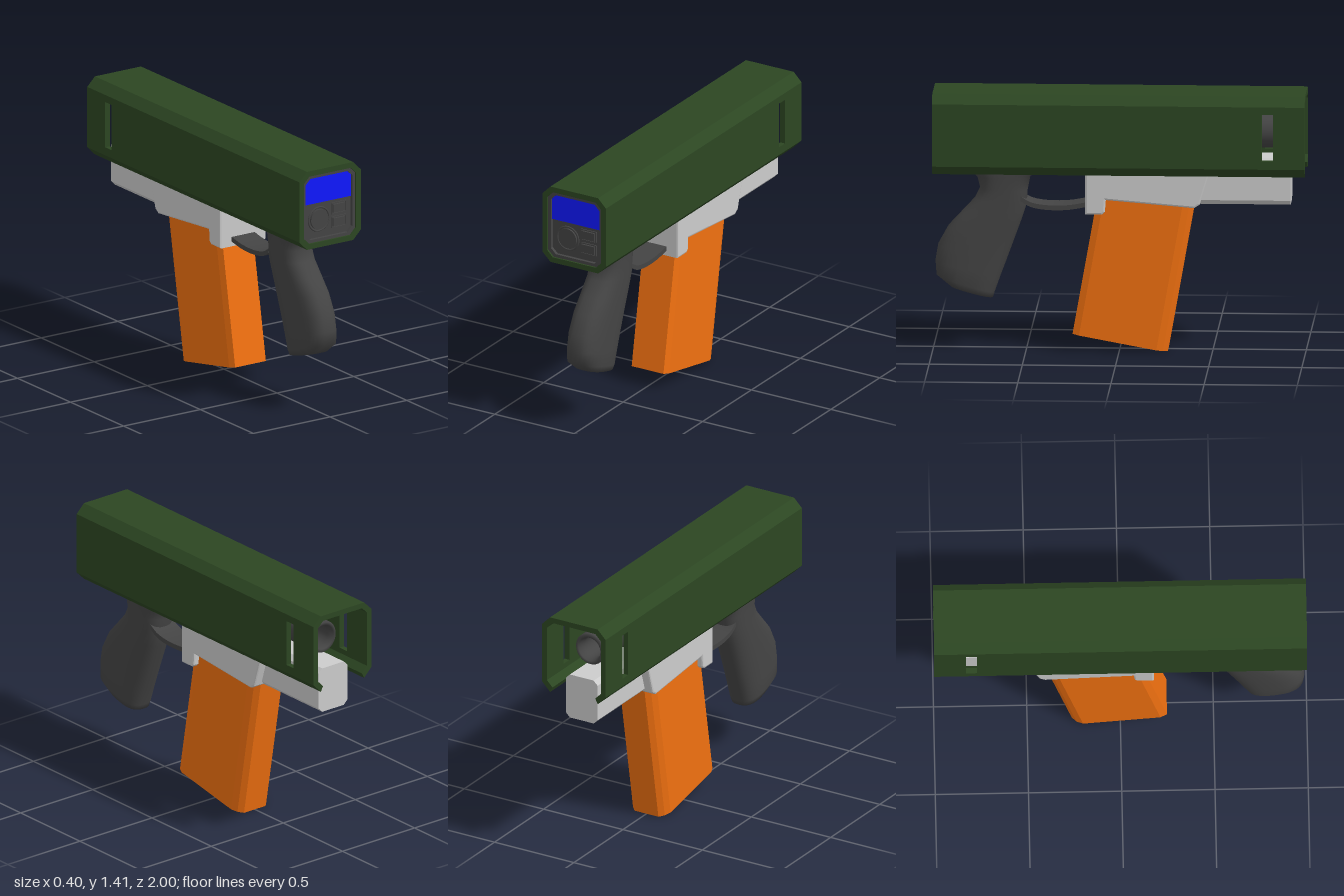
import * as THREE from 'three';

const mat = (color, extra = {}) => new THREE.MeshStandardMaterial({ color, ...extra });
const GREY = mat(0xcccccc);
const GREEN = mat(0x2c4622);
const DARK = mat(0x444444);
const BARREL = mat(0x444444, { side: THREE.DoubleSide });
const ORANGE = mat(0xf07010);
const BLUE = mat(0x1018ff);

const toShape = (pts) => new THREE.Shape(pts.map(([x, y]) => new THREE.Vector2(x, y)));

// rectangle with chamfered corners, symmetric in x
function octagon(w, y0, y1, c) {
  return [[w - c, y0], [w, y0 + c], [w, y1 - c], [w - c, y1],
    [c - w, y1], [-w, y1 - c], [-w, y0 + c], [c - w, y0]];
}

// x-y outline (with an optional hole) extruded from z0 to z1
function extrudeZ(pts, z0, z1, hole) {
  const shape = toShape(pts);
  if (hole) shape.holes.push(toShape(hole));
  return new THREE.ExtrudeGeometry(shape, { depth: z1 - z0, bevelEnabled: false }).translate(0, 0, z0);
}

// z-y outline extruded across x, with a small edge bevel
function extrudeX(pts, half, bevel = 0) {
  const geo = new THREE.ExtrudeGeometry(toShape(pts), {
    depth: 2 * (half - bevel), bevelEnabled: bevel > 0, bevelSize: bevel,
    bevelThickness: bevel, bevelOffset: -bevel, bevelSegments: 2, curveSegments: 16,
  });
  return geo.rotateY(-Math.PI / 2).translate(half - bevel, 0, 0);
}

// smooth grip lofted through rings of [frontZ, frontY, rearZ, rearY, halfWidth]
function gripGeometry(rings, n = 32) {
  const pos = [], idx = [];
  const soft = (v) => Math.sign(v) * Math.abs(v) ** 0.75;
  for (const [fz, fy, rz, ry, w] of rings) {
    for (let j = 0; j < n; j++) {
      const a = (j / n) * Math.PI * 2, t = (1 - soft(Math.cos(a))) / 2;
      pos.push(w * soft(Math.sin(a)), fy + (ry - fy) * t, fz + (rz - fz) * t);
    }
  }
  const quad = (i, j) => {
    const k = (j + 1) % n, a = i * n + j, b = i * n + k;
    idx.push(a, a + n, b, b, a + n, b + n);
  };
  for (let i = 0; i < rings.length - 1; i++) for (let j = 0; j < n; j++) quad(i, j);
  // closed underside
  const last = (rings.length - 1) * n, [fz, fy, rz, ry] = rings[rings.length - 1];
  pos.push(0, (fy + ry) / 2, (fz + rz) / 2);
  for (let j = 0; j < n; j++) idx.push(last + n, last + ((j + 1) % n), last + j);
  const geo = new THREE.BufferGeometry();
  geo.setAttribute('position', new THREE.Float32BufferAttribute(pos, 3));
  geo.setIndex(idx);
  geo.computeVertexNormals();
  return geo;
}

export function createModel() {
  const model = new THREE.Group();
  const add = (name, geo, material, parent = model) => {
    const mesh = new THREE.Mesh(geo, material);
    mesh.name = name;
    parent.add(mesh);
    return mesh;
  };

  // hollow outer shell: closed ring in front, open underneath behind the body front
  const shell = new THREE.Group();
  shell.name = 'shell';
  model.add(shell);
  const outer = octagon(0.2, 0.975, 1.415, 0.05);
  const inner = octagon(0.17, 1.005, 1.385, 0.035);
  const channel = [...outer, ...[...inner].reverse()];
  add('shellFront', extrudeZ(outer, 0.17, 1, inner), GREEN, shell);
  add('shellMiddle', extrudeZ(channel, -0.77, 0.17), GREEN, shell);
  add('shellRear', extrudeZ(channel, -1, -0.83), GREEN, shell);
  // between those, the wall is interrupted by a slot on each side
  add('shellAboveSlots', extrudeZ([[0.2, 1.325], ...outer.slice(2, 6), [-0.2, 1.325],
    [-0.17, 1.325], ...inner.slice(2, 6).reverse(), [0.17, 1.325]], -0.83, -0.77), GREEN, shell);
  for (const s of [-1, 1]) {
    const lower = [[0.15, 0.975], [0.2, 1.025], [0.2, 1.07], [0.17, 1.07], [0.17, 1.04], [0.135, 1.005]];
    add('shellBelowSlot', extrudeZ(lower.map(([x, y]) => [s * x, y]), -0.83, -0.77), GREEN, shell);
  }

  // control panel closing the front
  const panel = new THREE.Group();
  panel.name = 'controlPanel';
  model.add(panel);
  const bezelHole = octagon(0.152, 1.022, 1.367, 0.03);
  add('panelFrame', extrudeZ(octagon(0.17, 1.005, 1.385, 0.035), 0.9, 0.99, bezelHole), DARK, panel);
  add('panelBack', extrudeZ(bezelHole, 0.9, 0.972), DARK, panel);
  add('screen', extrudeZ([[-0.15, 1.22], [0.15, 1.22], [0.15, 1.345], [0.132, 1.364],
    [-0.132, 1.364], [-0.15, 1.345]], 0.95, 0.982), BLUE, panel);
  add('dial', new THREE.CylinderGeometry(0.056, 0.056, 0.02, 40).rotateX(Math.PI / 2)
    .translate(-0.055, 1.125, 0.972), DARK, panel);
  add('dialRim', new THREE.TorusGeometry(0.066, 0.005, 8, 40).translate(-0.055, 1.125, 0.973), DARK, panel);
  for (const y of [1.09, 1.168]) {
    add('button', new THREE.BoxGeometry(0.078, 0.046, 0.02).translate(0.075, y, 0.972), DARK, panel);
    add('buttonRim', extrudeZ(octagon(0.05, y - 0.033, y + 0.033, 0.004), 0.965, 0.978,
      octagon(0.044, y - 0.027, y + 0.027, 0.003)).translate(0.075, 0, 0), DARK, panel);
  }

  // hollow barrel inside the shell
  const barrel = [[0.06, -0.85], [0.06, 0.8], [0.068, 0.84], [0.084, 0.84], [0.09, 0.832], [0.09, -0.85]]
    .map(([r, y]) => new THREE.Vector2(r, y));
  add('barrel', new THREE.LatheGeometry(barrel, 40).rotateX(-Math.PI / 2).translate(0, 1.2, 0), BARREL);

  // body with the magazine well, and the narrower block behind it
  add('body', extrudeX([[0.18, 1.05], [-0.505, 1.05], [-0.483, 0.975], [-0.435, 0.82], [-0.405, 0.8],
    [0.07, 0.84], [0.075, 0.775], [0.09, 0.76], [0.18, 0.76]], 0.15, 0.01), GREY);
  add('rearBlock', extrudeZ(octagon(0.1, 0.812, 1.065, 0.025), -0.92, -0.4), GREY);

  // slanted magazine: chamfered section sheared along its lean
  const magSection = [[-0.1, -0.25], [0.1, -0.25], [0.115, -0.215], [0.115, 0.2], [0.1, 0.235],
    [0.075, 0.26], [-0.075, 0.26], [-0.1, 0.235], [-0.115, 0.2], [-0.115, -0.215]];
  const lean = new THREE.Matrix4().makeBasis(new THREE.Vector3(1, 0, 0),
    new THREE.Vector3(0, -0.186, -1), new THREE.Vector3(0, 1, -0.178)).setPosition(0, 0.0535, 0);
  add('magazine', extrudeZ(magSection, 0, 0.83).applyMatrix4(lean), ORANGE);

  // hand grip
  add('grip', gripGeometry([
    [0.83, 1.0, 0.40, 1.0, 0.1],
    [0.8, 0.972, 0.43, 0.972, 0.1],
    [0.765, 0.94, 0.48, 0.945, 0.098],
    [0.75, 0.88, 0.495, 0.87, 0.096],
    [0.78, 0.82, 0.5, 0.79, 0.096],
    [0.85, 0.745, 0.53, 0.7, 0.097],
    [0.92, 0.67, 0.57, 0.59, 0.098],
    [0.975, 0.57, 0.61, 0.48, 0.098],
    [0.99, 0.48, 0.64, 0.4, 0.098],
    [0.985, 0.405, 0.672, 0.31, 0.097],
    [0.91, 0.342, 0.68, 0.282, 0.08],
  ]), DARK);

  // broad curved guard strip between grip and body
  const curve = new THREE.CatmullRomCurve3([[0.53, 0.83], [0.48, 0.8], [0.4, 0.784], [0.28, 0.784], [0.17, 0.802]]
    .map(([z, y]) => new THREE.Vector3(z, y, 0))).getPoints(20);
  const strip = [...curve.map((p) => [p.x, p.y + 0.013]), ...curve.reverse().map((p) => [p.x, p.y - 0.013])];
  add('guard', extrudeX(strip, 0.075), DARK);

  return model;
}
